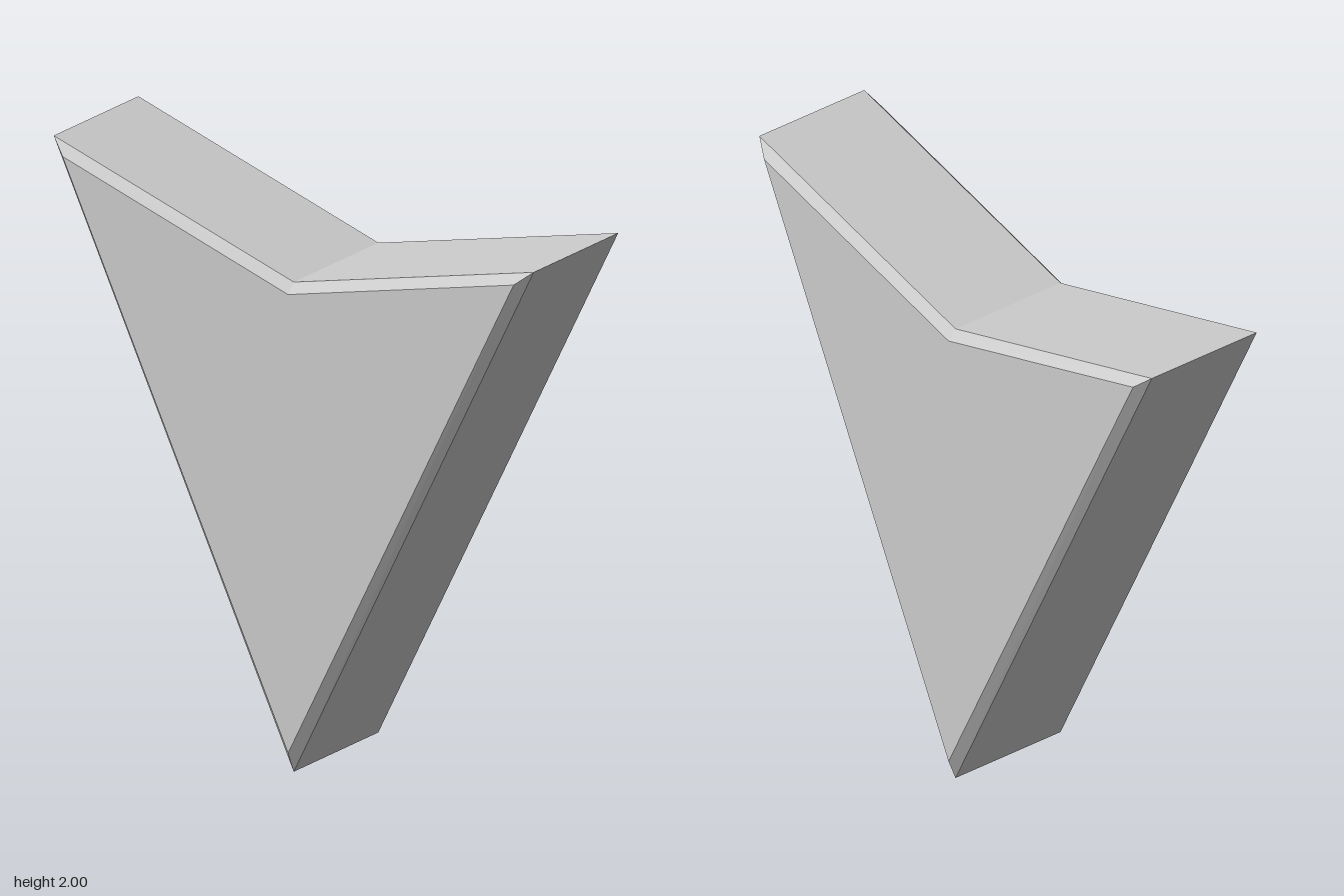
import * as THREE from 'three';

// Four-cornered arrowhead outlines: tip, left barb, notch, right barb
const outline = (tipY, barbX, barbY, notchY) => [[0, tipY], [barbX, barbY], [0, notchY], [-barbX, barbY]];
const outer = outline(0, 1, 2, 1.725);
const inner = outline(0.075, 0.94, 1.95, 1.69);

export function createModel() {
  // Cross-sections from back to front; the inset end outlines make the bevels
  const sections = [[inner, -0.255], [outer, -0.225], [outer, 0.225], [inner, 0.255]];
  const positions = sections.flatMap(([points, z]) => points.flatMap(([x, y]) => [x, y, z]));
  const index = [];

  // Side walls and bevels
  for (let s = 0; s < 3; s++) {
    for (let i = 0; i < 4; i++) {
      const j = (i + 1) % 4;
      const a = s * 4 + i, b = s * 4 + j, c = b + 4, d = a + 4;
      index.push(a, b, c, a, c, d);
    }
  }
  // Back and front faces, split from tip to notch
  index.push(0, 2, 1, 0, 3, 2);
  index.push(12, 13, 14, 12, 14, 15);

  const indexed = new THREE.BufferGeometry();
  indexed.setAttribute('position', new THREE.Float32BufferAttribute(positions, 3));
  indexed.setIndex(index);
  const geometry = indexed.toNonIndexed();
  geometry.computeVertexNormals();

  const arrowhead = new THREE.Mesh(
    geometry,
    new THREE.MeshStandardMaterial({ color: 0xcccccc, flatShading: true })
  );
  arrowhead.name = 'arrowhead';

  const model = new THREE.Group();
  model.name = 'arrowPointer';
  model.add(arrowhead);
  return model;
}
